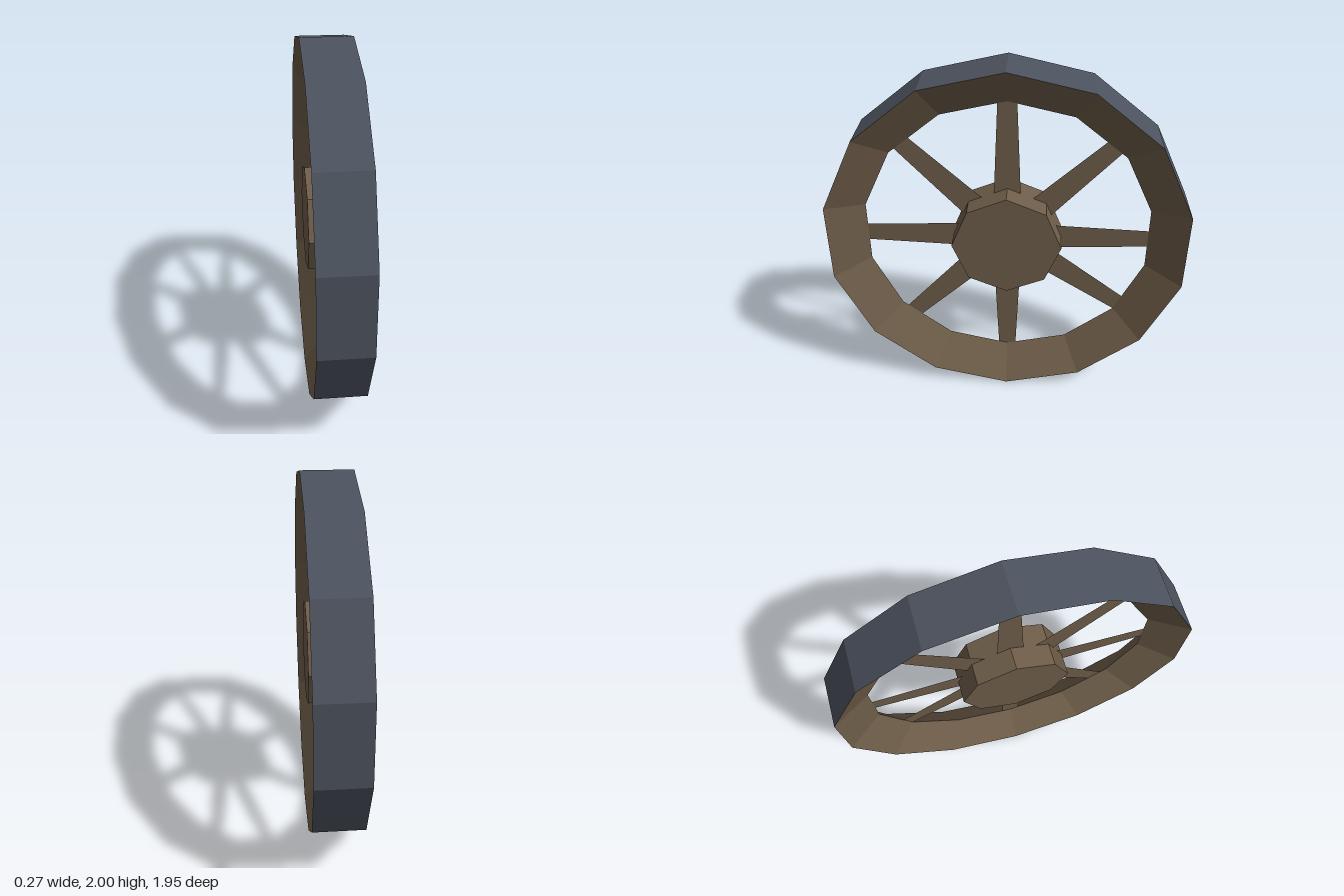
import * as THREE from 'three';

const SIDES = 14;
const R_OUT = 1, R_IN = 0.8, HALF_W = 0.137;

export function createModel() {
  const wood = new THREE.MeshStandardMaterial({ color: 0x6e5d49, flatShading: true, side: THREE.DoubleSide });
  wood.name = 'brown wood';
  const iron = new THREE.MeshStandardMaterial({ color: 0x4c525e, flatShading: true, side: THREE.DoubleSide });
  iron.name = 'dark iron';

  const wheel = new THREE.Group();
  wheel.name = 'wheel';
  wheel.position.y = 1;

  const add = (parent, name, geometry, material) => {
    const mesh = new THREE.Mesh(geometry, material);
    mesh.name = name;
    parent.add(mesh);
    return mesh;
  };

  // Bands swept round the x axis; each profile point is (radius, x), with a corner at the top
  const band = (points) => {
    const profile = points.map(([r, x]) => new THREE.Vector2(r, x));
    return new THREE.LatheGeometry(profile, SIDES).rotateZ(-Math.PI / 2).rotateX(-Math.PI / 2);
  };

  // Iron tread outside, wooden rim sides narrowing to an edge at the inner radius
  add(wheel, 'tread', band([[R_OUT, -HALF_W], [R_OUT, HALF_W]]), iron);
  add(wheel, 'rim', band([[R_OUT, HALF_W], [R_IN, 0], [R_OUT, -HALF_W]]), wood);

  // Octagonal hub with its corners in line with the spokes
  add(wheel, 'hub', new THREE.CylinderGeometry(0.3, 0.3, 0.24, 8).rotateZ(-Math.PI / 2), wood);

  // Flat tapered spokes in the middle plane; one has slipped out of line
  const outline = new THREE.Shape([
    new THREE.Vector2(-0.075, 0.2), new THREE.Vector2(0.075, 0.2),
    new THREE.Vector2(0.05, R_IN), new THREE.Vector2(-0.05, R_IN),
  ]);
  const spokeGeometry = new THREE.ShapeGeometry(outline).rotateY(Math.PI / 2);
  const spokes = new THREE.Group();
  spokes.name = 'spokes';
  wheel.add(spokes);
  // Angles run from the top towards the back
  for (const degrees of [0, 45, 90, 125, 180, 225, 270, 315]) {
    add(spokes, 'spoke', spokeGeometry, wood).rotation.x = -THREE.MathUtils.degToRad(degrees);
  }

  const model = new THREE.Group();
  model.name = 'cartWheel';
  model.add(wheel);
  return model;
}
